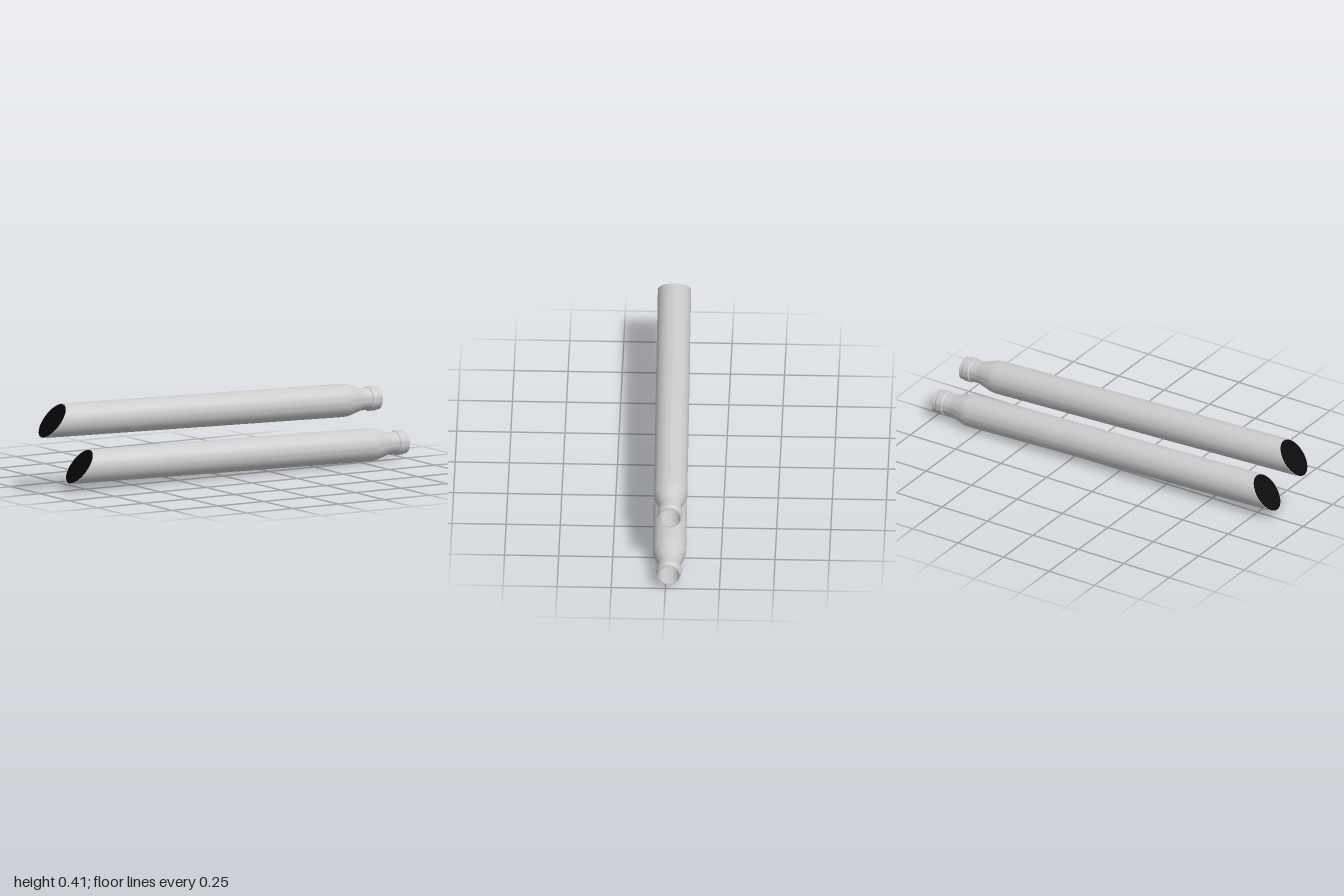
import * as THREE from 'three';
import { toCreasedNormals } from 'three/addons/utils/BufferGeometryUtils.js';

const R = 0.077;            // body radius
const SLANT = 0.0575 / R;   // lengthwise shift of the tail cut per unit of height

// Closed wall section (distance along pipe, radius): outside to the mouth, then back inside
const PROFILE = [
  [0, R], [1.6, R], [1.615, 0.0755], [1.63, 0.073], [1.695, 0.053], [1.70, 0.052],
  [1.738, 0.052], [1.742, 0.057], [1.772, 0.057], [1.776, 0.054], [1.793, 0.053],
  [1.793, 0.048], [1.70, 0.048], [1.61, 0.0745], [0, 0.0745],
  [0, R],
];

// Shear the tail end so the cut runs from a low tip up and forward
function slantTail(geometry) {
  const p = geometry.attributes.position;
  for (let i = 0; i < p.count; i++) {
    if (p.getX(i) < 0.01) p.setX(i, p.getX(i) + p.getY(i) * SLANT);
  }
  return geometry;
}

function makePipe(name, tail, mouth, metal, dark) {
  const pipe = new THREE.Group();
  pipe.name = name;

  // Hollow tube with tapered neck and collar
  const lathe = new THREE.LatheGeometry(PROFILE.map(([x, r]) => new THREE.Vector2(r, x)), 48);
  lathe.rotateZ(-Math.PI / 2);
  const tube = new THREE.Mesh(toCreasedNormals(slantTail(lathe), 0.5), metal);
  tube.name = 'pipeTube';

  // Dark face just inside the slanted outlet
  const disc = new THREE.CircleGeometry(0.0748, 48);
  disc.rotateY(-Math.PI / 2);
  disc.translate(0.002, 0, 0);
  slantTail(disc).computeVertexNormals();
  const outlet = new THREE.Mesh(disc, dark);
  outlet.name = 'outletOpening';

  pipe.add(tube, outlet);
  pipe.position.copy(tail);
  const axis = mouth.clone().sub(tail).normalize();
  pipe.quaternion.setFromUnitVectors(new THREE.Vector3(1, 0, 0), axis);
  return pipe;
}

export function createModel() {
  const metal = new THREE.MeshStandardMaterial({ color: 0xcccccc });
  metal.name = 'lightGreyMetal';
  const dark = new THREE.MeshStandardMaterial({ color: 0x050505, side: THREE.DoubleSide });
  dark.name = 'blackInterior';

  const model = new THREE.Group();
  model.name = 'pipePair';
  const V = (x, y, z) => new THREE.Vector3(x, y, z);
  model.add(
    makePipe('upperPipe', V(-0.942, 0.339, 0.014), V(0.85, 0.293, -0.017), metal, dark),
    makePipe('lowerPipe', V(-0.794, 0.112, 0.014), V(0.999, 0.0745, -0.017), metal, dark),
  );
  return model;
}
